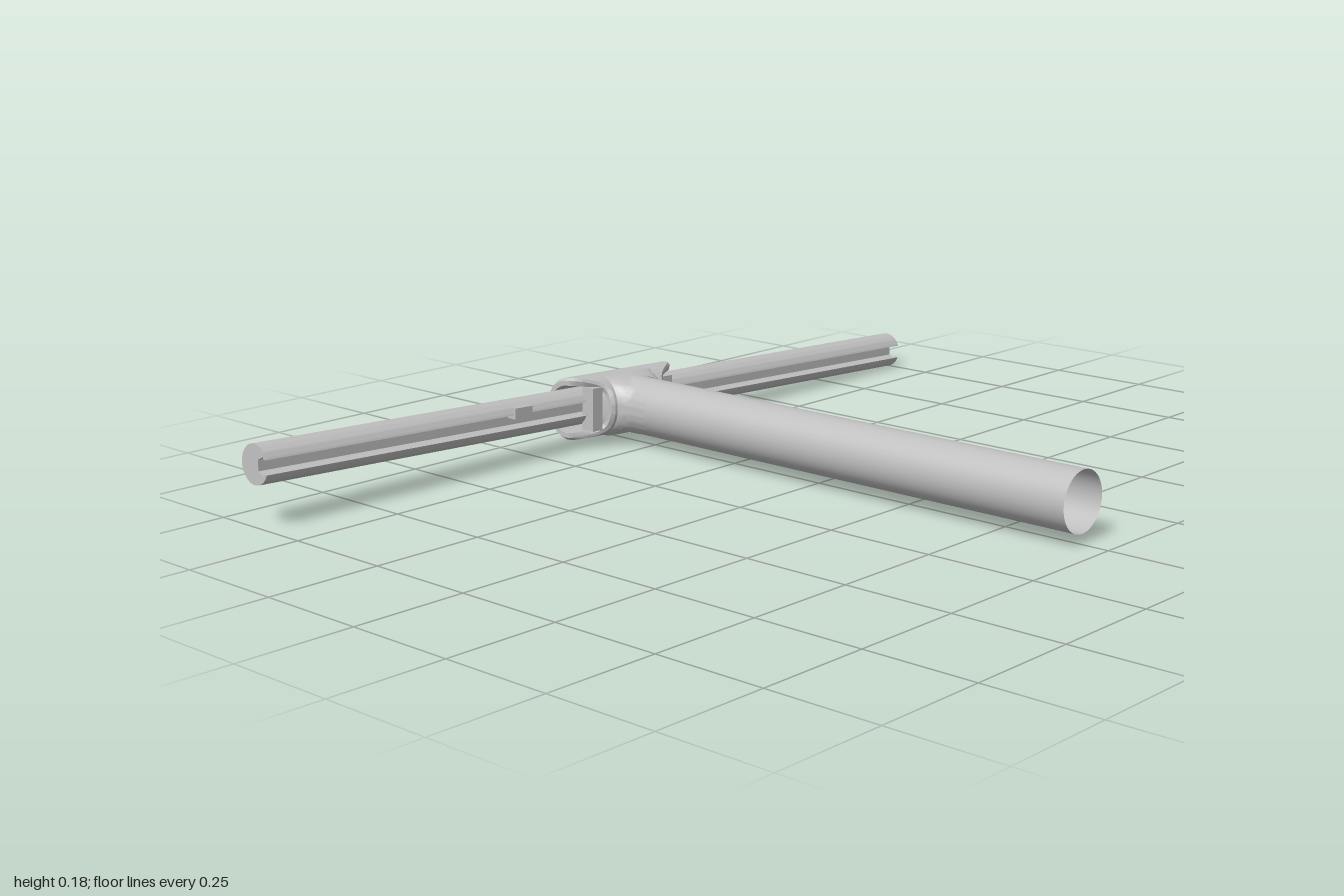
import * as THREE from 'three';
import { toCreasedNormals } from 'three/addons/utils/BufferGeometryUtils.js';

// Grid surface from a rule f(i, j) -> [x, y, z]
function loft(nu, nv, f) {
  const pos = [], idx = [];
  for (let i = 0; i <= nu; i++) for (let j = 0; j <= nv; j++) pos.push(...f(i, j));
  for (let i = 0; i < nu; i++) for (let j = 0; j < nv; j++) {
    const a = i * (nv + 1) + j, b = a + nv + 1;
    idx.push(a, b, a + 1, b, b + 1, a + 1);
  }
  const g = new THREE.BufferGeometry();
  g.setAttribute('position', new THREE.Float32BufferAttribute(pos, 3));
  g.setIndex(idx);
  return toCreasedNormals(g, 0.6);
}

export function createModel() {
  const model = new THREE.Group();
  const steel = new THREE.MeshStandardMaterial({ color: 0xbfbfbf, side: THREE.DoubleSide });
  steel.name = 'grey steel';
  const add = (parent, name, geo, x = 0, y = 0, z = 0) => {
    const m = new THREE.Mesh(geo, steel);
    m.name = name;
    m.position.set(x, y, z);
    parent.add(m);
    return m;
  };

  // Long hollow stem running forward
  const stem = new THREE.CylinderGeometry(0.066, 0.066, 1.262, 48, 1, true).rotateX(Math.PI / 2);
  add(model, 'stem', stem, 0, 0.09, 0.056);

  // Crossbar and its clamp share a slight tilt
  const cross = new THREE.Group();
  cross.name = 'tiltedCrossbar';
  cross.position.y = 0.09;
  cross.rotation.z = -0.045;
  model.add(cross);

  // Round rail with a slot along its front
  const R = 0.043, half = 0.37;
  const profile = new THREE.Shape();
  profile.absarc(0, 0, R, -Math.PI + half, Math.PI - half, false);
  profile.lineTo(-0.029, 0.0155);
  profile.lineTo(-0.029, 0.02);
  profile.lineTo(-0.012, 0.012);
  profile.lineTo(-0.012, -0.012);
  profile.lineTo(-0.029, -0.02);
  profile.lineTo(-0.029, -0.0155);
  profile.closePath();
  const rail = new THREE.ExtrudeGeometry(profile, { depth: 1.998, bevelEnabled: false, curveSegments: 40 });
  rail.translate(0, 0, -0.999).rotateY(Math.PI / 2);
  add(cross, 'slottedRail', toCreasedNormals(rail, 0.5), 0, 0, -0.632);
  add(cross, 'railStop', new THREE.BoxGeometry(0.05, 0.025, 0.025), -0.32, 0.019, -0.6);

  // Clamp collar: a sleeve whose ends taper inward toward the front
  const collar = loft(64, 6, (i, j) => {
    const a = (i / 64) * Math.PI * 2, c = Math.cos(a);
    const L = 0.165 - 0.075 * THREE.MathUtils.smoothstep(c, -0.1, 0.85);
    const ring = [[0.072, L - 0.008], [0.072, 0.008 - L], [0.066, -L], [0.055, -L], [0.055, L], [0.066, L], [0.072, L - 0.008]];
    const [r, x] = ring[j];
    return [x, r * Math.sin(a), r * c];
  });
  add(cross, 'clampCollar', collar, 0, 0, -0.615);

  // Saddle: square flange blending into two horns that hug the stem
  const NV = 14;
  const saddle = loft(64, NV, (i, j) => {
    const a = (i / 64) * Math.PI * 2, c = Math.cos(a), s = Math.sin(a);
    const t = 1 - j / NV;
    const k = Math.pow(THREE.MathUtils.clamp((t - 0.4) / 0.6, 0, 1), 1.3);
    const e = 1 - 0.55 * k;
    const wide = THREE.MathUtils.lerp(0.067, 0.1, k), high = THREE.MathUtils.lerp(0.067, 0.073, k);
    const front = -0.548 + 0.08 * THREE.MathUtils.smoothstep(Math.abs(c), 0.15, 0.8);
    return [
      wide * Math.sign(c) * Math.pow(Math.abs(c), e),
      high * Math.sign(s) * Math.pow(Math.abs(s), e),
      THREE.MathUtils.lerp(front, -0.59, t),
    ];
  });
  add(cross, 'saddle', saddle);

  // Cheeks at each side of the flange
  for (const side of [-1, 1]) {
    const cheek = new THREE.BoxGeometry(0.03, 0.1, 0.035);
    add(cross, 'cheek', cheek, side * 0.112, 0, -0.588);
  }

  // Fine ribs and a screw head on the back of the collar
  for (const a of [-0.28, 0, 0.28]) {
    const rib = add(cross, 'backRib', new THREE.BoxGeometry(0.31, 0.006, 0.004),
      0, 0.0715 * Math.sin(a), -0.615 - 0.0715 * Math.cos(a));
    rib.rotation.x = a;
  }
  const screw = add(cross, 'screwHead', new THREE.CylinderGeometry(0.009, 0.009, 0.006, 20),
    0, -0.0505, -0.6655);
  screw.rotation.x = Math.PI / 4;

  return model;
}
